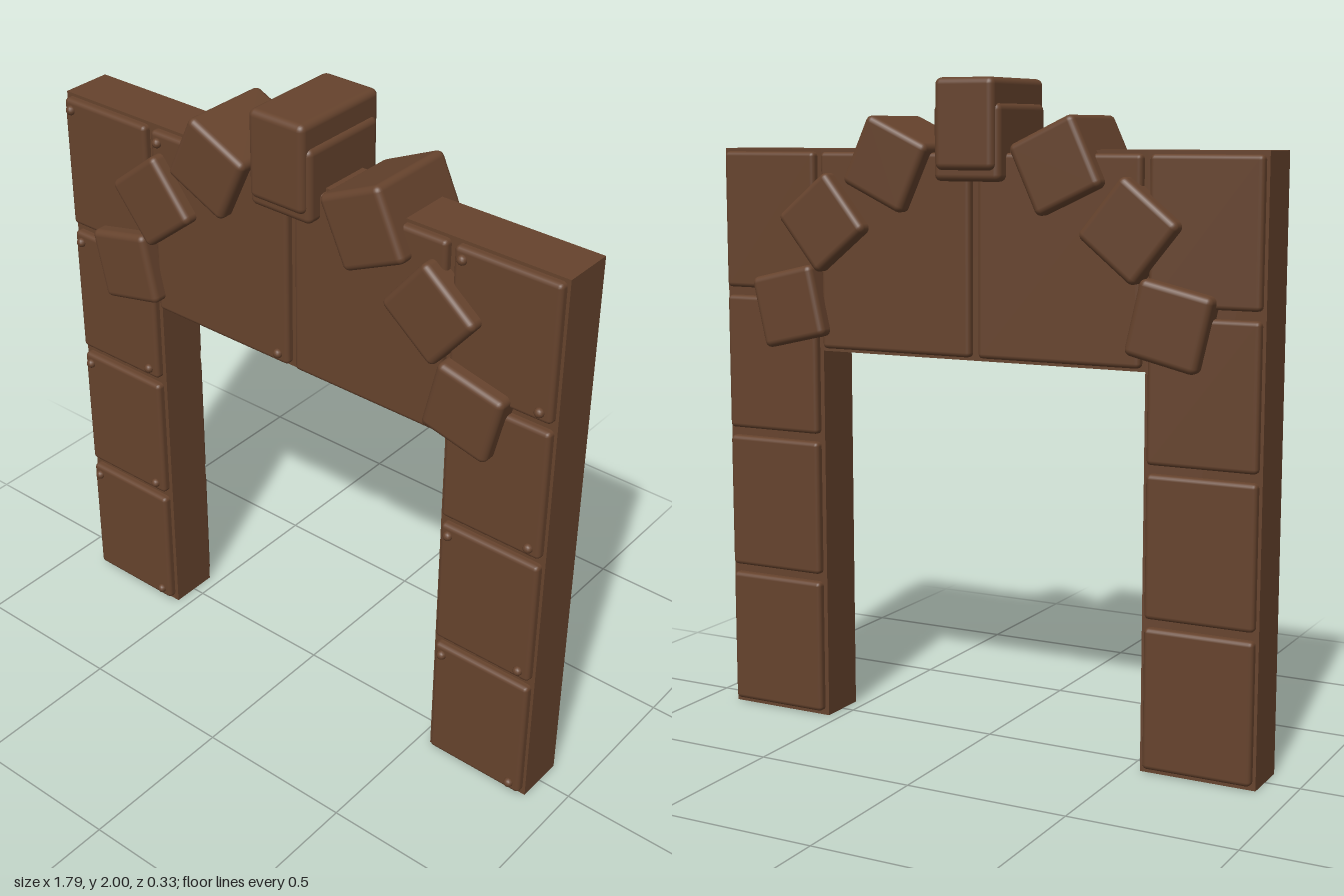
import * as THREE from 'three';
import { RoundedBoxGeometry } from 'three/addons/geometries/RoundedBoxGeometry.js';

const brown = new THREE.MeshStandardMaterial({ color: 0x66432d });
brown.name = 'brown';

export function createModel() {
  const root = new THREE.Group();
  root.name = 'archGate';

  function add(name, geometry, x, y, z = 0, turn = 0) {
    const mesh = new THREE.Mesh(geometry, brown);
    mesh.name = name;
    mesh.position.set(x, y, z);
    mesh.rotation.z = turn;
    root.add(mesh);
    return mesh;
  }

  const studGeometry = new THREE.SphereGeometry(0.015, 12, 8);

  // Slab standing proud of the core on both faces, with two studs on the front
  function panel(name, x0, x1, y0, y1) {
    const w = x1 - x0, h = y1 - y0;
    add(name, new RoundedBoxGeometry(w, h, 0.21, 2, 0.014), (x0 + x1) / 2, (y0 + y1) / 2);
    add('stud', studGeometry, x0 + 0.03, y1 - 0.032, 0.107);
    add('stud', studGeometry, x1 - 0.035, y0 + 0.032, 0.107);
  }

  // Core: two pillars and the lintel between them
  for (const side of [-1, 1]) {
    add('pillarCore', new THREE.BoxGeometry(0.355, 1.795, 0.16), side * 0.717, 0.8975);
  }
  add('lintelCore', new THREE.BoxGeometry(1.08, 0.62, 0.16), 0, 1.485);

  // Panels: four up each pillar, two across the lintel
  for (let i = 0; i < 4; i++) {
    const y = 0.015 + i * 0.449;
    panel('pillarPanel', -0.885, -0.553, y, y + 0.423);
    panel('pillarPanel', 0.553, 0.885, y, y + 0.423);
  }
  panel('lintelPanel', -0.53, -0.013, 1.185, 1.785);
  panel('lintelPanel', 0.013, 0.53, 1.185, 1.785);

  // Arch stones, mirrored left and right
  const stoneGeometry = new RoundedBoxGeometry(0.223, 0.223, 0.3, 3, 0.02);
  const stones = [[0.629, 1.313, 13], [0.505, 1.573, 39], [0.279, 1.751, 65]];
  for (const [x, y, degrees] of stones) {
    for (const side of [-1, 1]) {
      add('archStone', stoneGeometry, side * x, y, 0, -side * THREE.MathUtils.degToRad(degrees));
    }
  }

  // Keystone over its backing block
  add('keystoneBacking', new RoundedBoxGeometry(0.218, 0.224, 0.3, 3, 0.02), 0, 1.815);
  add('keystone', new RoundedBoxGeometry(0.193, 0.265, 0.334, 3, 0.02), 0, 1.8675);

  return root;
}
